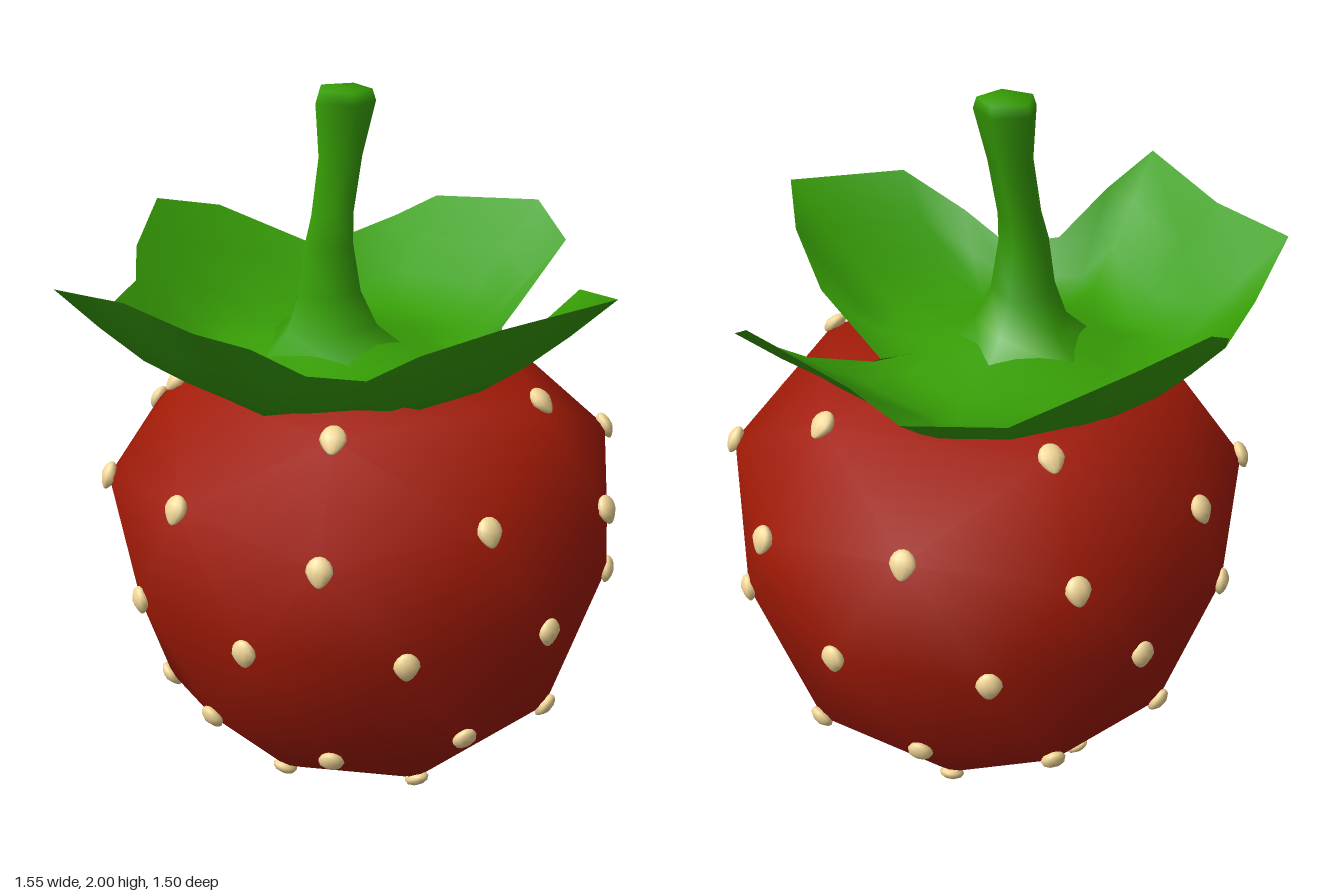
import * as THREE from 'three';
import { mergeVertices } from 'three/addons/utils/BufferGeometryUtils.js';
import { ConvexGeometry } from 'three/addons/geometries/ConvexGeometry.js';

const material = (color, side = THREE.FrontSide) => new THREE.MeshStandardMaterial({ color, side });
const red = material(0xa31a06);
const green = material(0x379e06, THREE.DoubleSide);
const cream = material(0xf4d898);

// Weld the corners so that the low-poly surface shades smoothly
function smooth(geometry) {
  geometry.deleteAttribute('normal');
  geometry.deleteAttribute('uv');
  const welded = mergeVertices(geometry, 1e-4);
  welded.computeVertexNormals();
  return welded;
}

function addMesh(parent, name, geometry, mat) {
  const mesh = new THREE.Mesh(geometry, mat);
  mesh.name = name;
  parent.add(mesh);
  return mesh;
}

// Corners of the fruit, ring by ring: height, radius, count, start angle from +x in degrees
const AXIS_X = 0.046;
const RINGS = [
  [0.018, 0, 1, 0],
  [0.115, 0.317, 5, 180],
  [0.335, 0.56, 5, 0],
  [0.385, 0.58, 5, 180],
  [0.685, 0.678, 10, 18],
  [0.965, 0.71, 5, 0],
  [1.03, 0.68, 5, 180],
  [1.235, 0.515, 5, 0],
  [1.3, 0, 1, 0],
];

function fruitPoints() {
  const points = [];
  for (const [y, r, count, start] of RINGS) {
    for (let i = 0; i < count; i++) {
      const a = THREE.MathUtils.degToRad(start + (i * 360) / count);
      points.push(new THREE.Vector3(AXIS_X + r * Math.cos(a), y, r * Math.sin(a)));
    }
  }
  return points;
}

// Teardrop seed, rounded above and pointed below
function seedGeometry() {
  const g = new THREE.SphereGeometry(1, 10, 8);
  const p = g.attributes.position;
  for (let i = 0; i < p.count; i++) {
    const y = p.getY(i);
    const taper = y < 0 ? 1 + 0.35 * y : 1;
    p.setXYZ(i, p.getX(i) * 0.035 * taper, y * 0.04, p.getZ(i) * 0.021 * taper);
  }
  return smooth(g);
}

// Rim of the leaf crown: x, height, z
const RIM = [
  [-0.06, 1.59, -0.75], [0.14, 1.54, -0.71], [0.38, 1.4, -0.54], [0.64, 1.46, -0.47],
  [0.7, 1.53, -0.36], [0.77, 1.57, -0.02], [0.72, 1.49, 0.13], [0.5, 1.35, 0.15],
  [0.35, 1.265, 0.17], [0.29, 1.27, 0.13], [0.28, 1.38, 0.43], [0.29, 1.53, 0.53],
  [0.17, 1.58, 0.745], [-0.16, 1.56, 0.66], [-0.25, 1.47, 0.48], [-0.31, 1.39, 0.36],
  [-0.43, 1.41, 0.27], [-0.6, 1.52, 0.265], [-0.77, 1.6, 0.26], [-0.69, 1.57, -0.1],
  [-0.71, 1.55, -0.36], [-0.55, 1.42, -0.41], [-0.28, 1.43, -0.58], [-0.22, 1.5, -0.65],
];

// One skin of the leaf crown: resting on the fruit, then curving upward to the rim.
// The lower skin sags by the given amount between the middle and the rim.
function crownGeometry(sag) {
  const cx = -0.03, cz = -0.05, n = RIM.length;
  const steps = [0.2, 0.4, 0.55, 0.7, 0.85, 1];
  const pos = [cx, 1.38, cz];
  const index = [];
  steps.forEach((t, s) => {
    RIM.forEach(([x, y, z], i) => {
      const R = Math.hypot(x - cx, z - cz), r = R * t;
      const base = 1.37 - 0.11 * Math.min(1, r / 0.45);
      const knee = Math.min(0.37, R * 0.8);
      const k = Math.max(0, (r - knee) / (R - knee));
      const height = base + (y - 1.26) * Math.pow(k, 1.2) - sag * Math.sin(Math.PI * t);
      pos.push(cx + (x - cx) * t, height, cz + (z - cz) * t);
      const j = (i + 1) % n, now = 1 + s * n, before = now - n;
      if (s === 0) index.push(0, now + j, now + i);
      else index.push(before + i, before + j, now + i, before + j, now + j, now + i);
    });
  });
  const g = new THREE.BufferGeometry();
  g.setAttribute('position', new THREE.Float32BufferAttribute(pos, 3));
  g.setIndex(index);
  g.computeVertexNormals();
  return g;
}

// Five-sided stem: radius, height and sideways shift of each ring, bottom to top
const STEM = [
  [0.22, 1.3, -0.04], [0.13, 1.375, -0.045], [0.09, 1.47, -0.05], [0.07, 1.6, -0.05],
  [0.06, 1.68, -0.035], [0.062, 1.83, -0.005], [0.085, 1.97, 0.012], [0.075, 2.0, 0.013],
  [0, 2.0, 0.013],
];

function stemGeometry() {
  const g = new THREE.LatheGeometry(STEM.map(([r, y]) => new THREE.Vector2(r, y)), 5, 0.75);
  const p = g.attributes.position;
  for (let i = 0; i < p.count; i++) {
    const shift = STEM[i % STEM.length][2];
    p.setXYZ(i, p.getX(i) + shift, p.getY(i), p.getZ(i) - 0.053);
  }
  return smooth(g);
}

export function createModel() {
  const model = new THREE.Group();
  model.name = 'strawberry';

  const points = fruitPoints();
  addMesh(model, 'fruit', smooth(new ConvexGeometry(points)), red);

  // One seed on every corner of the fruit except the covered top
  const seeds = new THREE.Group();
  seeds.name = 'seeds';
  model.add(seeds);
  const seedShape = seedGeometry();
  const middle = new THREE.Vector3(AXIS_X, 0.72, 0);
  for (const point of points.slice(0, -1)) {
    const seed = addMesh(seeds, 'seed', seedShape, cream);
    seed.position.copy(point);
    seed.lookAt(point.clone().multiplyScalar(2).sub(middle));
  }

  // Leaves with a little thickness, and the stem growing out of them
  addMesh(model, 'leafCrownTop', crownGeometry(0), green);
  addMesh(model, 'leafCrownUnderside', crownGeometry(0.035), green);
  addMesh(model, 'stem', stemGeometry(), green);
  return model;
}
